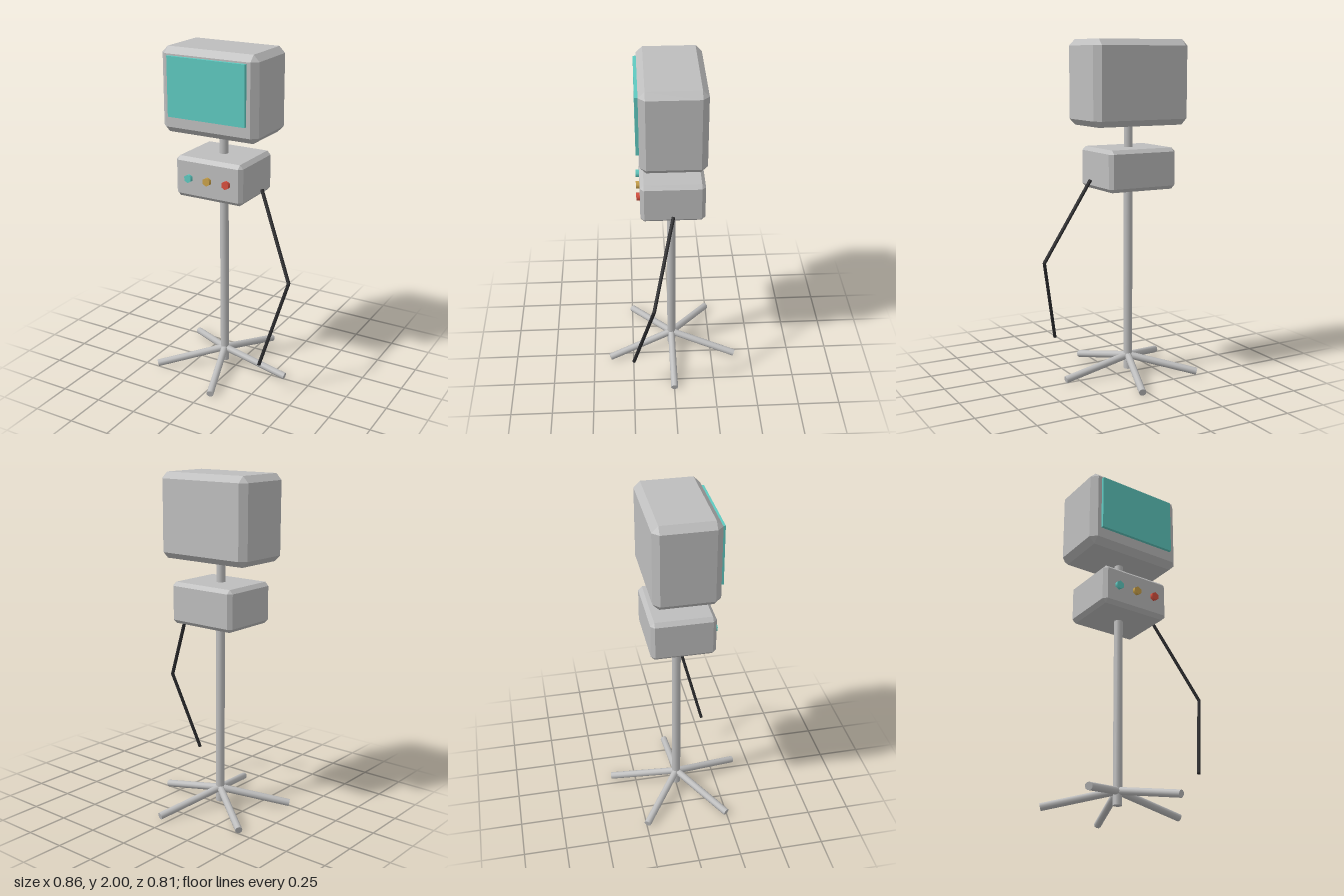
import * as THREE from 'three';
import { ConvexGeometry } from 'three/addons/geometries/ConvexGeometry.js';

const mat = (name, color) => {
  const m = new THREE.MeshStandardMaterial({ color });
  m.name = name;
  return m;
};

// Box with every edge and corner cut flat
function chamferBox(w, h, d, c) {
  const pts = [];
  for (const sx of [-1, 1]) for (const sy of [-1, 1]) for (const sz of [-1, 1]) {
    const x = w / 2, y = h / 2, z = d / 2;
    pts.push(new THREE.Vector3(sx * x, sy * (y - c), sz * (z - c)));
    pts.push(new THREE.Vector3(sx * (x - c), sy * y, sz * (z - c)));
    pts.push(new THREE.Vector3(sx * (x - c), sy * (y - c), sz * z));
  }
  return new ConvexGeometry(pts);
}

export function createModel() {
  const model = new THREE.Group();
  model.name = 'monitorStand';
  const grey = mat('casingGrey', 0xbebebe);
  const teal = mat('screenTeal', 0x5fcac1);
  const amber = mat('knobAmber', 0xcaa24a);
  const red = mat('knobRed', 0xd9503f);
  const black = mat('cableBlack', 0x2c2c2e);
  const cx = -0.078; // axis of the pole

  const add = (name, geometry, material, x = 0, y = 0, z = 0) => {
    const mesh = new THREE.Mesh(geometry, material);
    mesh.name = name;
    mesh.position.set(x, y, z);
    model.add(mesh);
    return mesh;
  };

  // Round bar between two points
  const bar = (name, a, b, r, sides, material) => {
    const dir = b.clone().sub(a);
    const mesh = add(name, new THREE.CylinderGeometry(r, r, dir.length(), sides), material);
    mesh.position.copy(a).add(b).multiplyScalar(0.5);
    mesh.quaternion.setFromUnitVectors(new THREE.Vector3(0, 1, 0), dir.normalize());
    return mesh;
  };

  // Monitor and its screen
  add('monitorCasing', chamferBox(0.615, 0.49, 0.37, 0.036), grey, cx, 1.755, 0);
  add('screen', new THREE.BoxGeometry(0.495, 0.345, 0.03), teal, cx, 1.782, 0.188);

  // Control box with three hexagonal knobs
  add('controlBox', chamferBox(0.437, 0.242, 0.37, 0.022), grey, cx, 1.26, 0);
  [teal, amber, red].forEach((material, i) => {
    const knob = new THREE.CylinderGeometry(0.025, 0.025, 0.03, 6).rotateX(Math.PI / 2);
    add('knob' + (i + 1), knob, material, cx + (i - 1) * 0.123, 1.26, 0.19);
  });

  // Pole and five sloping feet
  add('pole', new THREE.CylinderGeometry(0.026, 0.026, 1.51, 12), grey, cx, 0.785, 0);
  for (let i = 0; i < 5; i++) {
    const a = (i * Math.PI * 2) / 5;
    bar('foot' + (i + 1),
      new THREE.Vector3(cx, 0.112, 0),
      new THREE.Vector3(cx + Math.cos(a) * 0.419, 0.024, Math.sin(a) * 0.419),
      0.0215, 10, grey);
  }

  // Hanging cable, bent once
  const cable = [[0.172, 1.2, 0], [0.415, 0.71, 0.122], [0.294, 0.212, 0.247]]
    .map((p) => new THREE.Vector3(...p));
  bar('cableUpper', cable[0], cable[1], 0.0105, 6, black);
  bar('cableLower', cable[1], cable[2], 0.0105, 6, black);
  add('cableBend', new THREE.SphereGeometry(0.0105, 8, 6), black, ...cable[1].toArray());

  return model;
}
